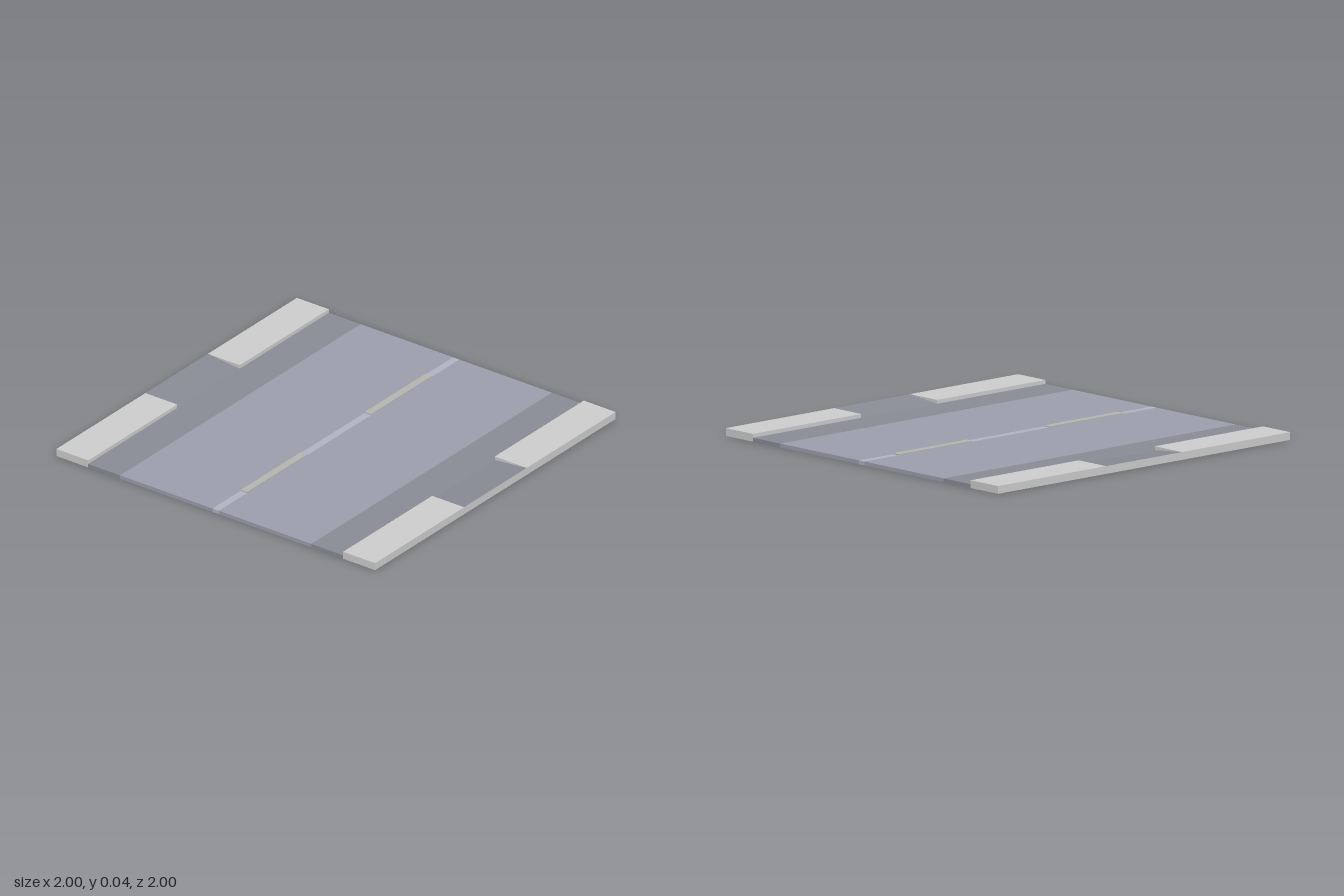
import * as THREE from 'three';

const paint = (color) => new THREE.MeshStandardMaterial({ color });

export function createModel() {
  const model = new THREE.Group();
  const kerbGrey = paint(0xcccccc);
  const asphalt = paint(0x9c9dab);
  const gutterGrey = paint(0x888a94);
  const lineGrey = paint(0xb0b2c0);
  const dashPaint = paint(0xb4b4ae);
  const road = 0.02, kerb = 0.04, gap = 0.26;

  // Box given by its lower and upper bounds on each axis
  function block(name, material, [x0, x1], [y0, y1], [z0, z1]) {
    const mesh = new THREE.Mesh(new THREE.BoxGeometry(x1 - x0, y1 - y0, z1 - z0), material);
    mesh.position.set((x0 + x1) / 2, (y0 + y1) / 2, (z0 + z1) / 2);
    mesh.name = name;
    model.add(mesh);
    return mesh;
  }
  const mirrored = (side, a, b) => (side > 0 ? [a, b] : [-b, -a]);

  // Centre line of the road
  block('centreLine', lineGrey, [-1, 1], [0, road], [-0.02, 0.02]);

  for (const side of [-1, 1]) {
    // Road surface strips
    block('lane', asphalt, [-1, 1], [0, road], mirrored(side, 0.02, 0.6));
    block('gutter', gutterGrey, [-1, 1], [0, road], mirrored(side, 0.6, 0.8));

    // Raised dash on the centre line
    block('laneDash', dashPaint, mirrored(side, 0.265, 0.767), [road, 0.025], [-0.02, 0.02]);

    // Two raised pavements at this edge
    for (const end of [-1, 1]) {
      block('pavement', kerbGrey, mirrored(end, gap, 1), [0, kerb], mirrored(side, 0.8, 1));
    }

    // Ramp between the pavements: the top drops to road level at the inner edge
    const faces = [kerbGrey, kerbGrey, gutterGrey, kerbGrey, kerbGrey, kerbGrey];
    const ramp = block('ramp', faces, [-gap, gap], [0, kerb], mirrored(side, 0.8, 1));
    const pos = ramp.geometry.attributes.position;
    for (let i = 0; i < pos.count; i++) {
      if (pos.getY(i) > 0 && pos.getZ(i) * side < 0) pos.setY(i, road - kerb / 2);
    }
    ramp.geometry.computeVertexNormals();
  }
  return model;
}
